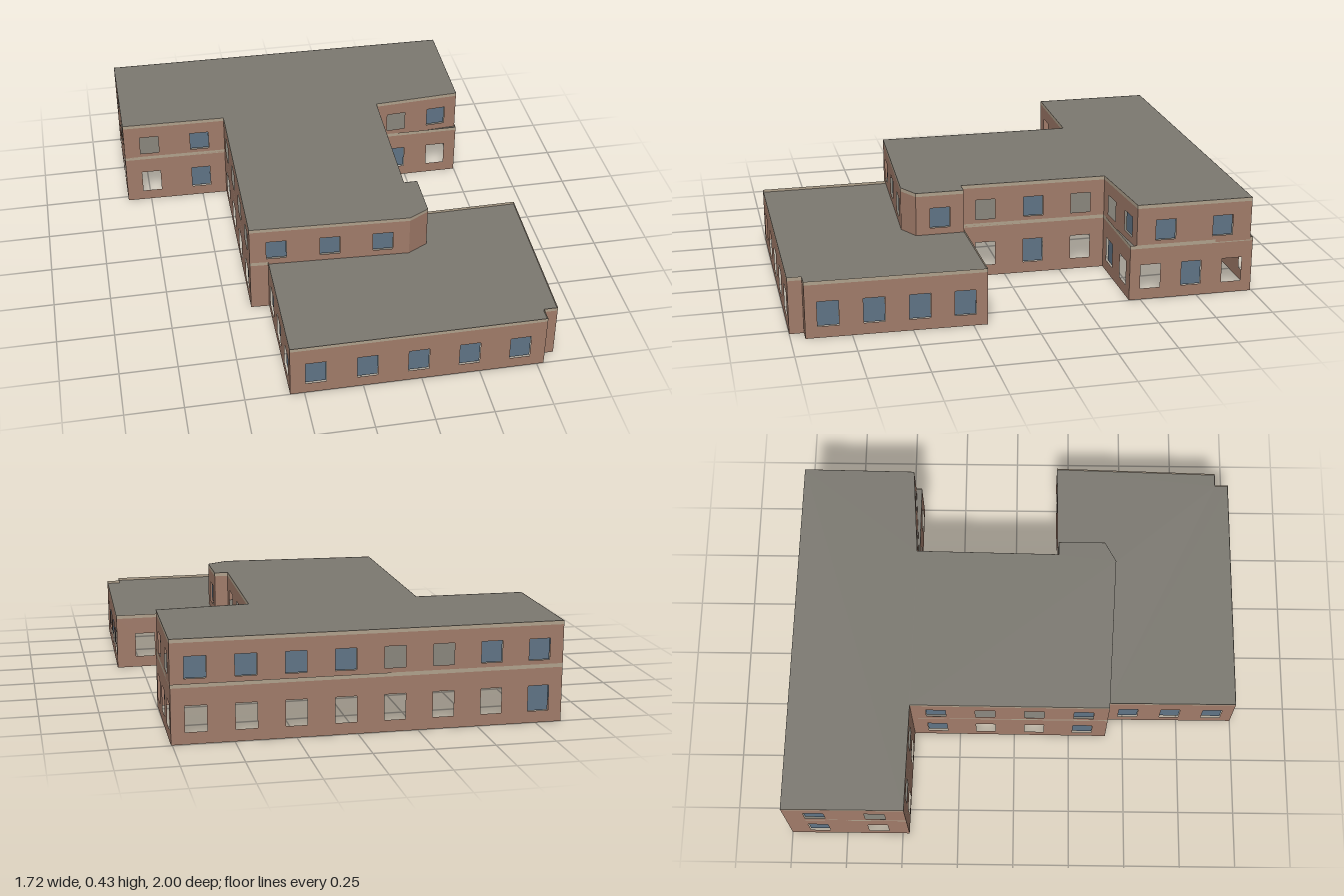
import * as THREE from 'three';

const mat = (name, color) => {
  const m = new THREE.MeshStandardMaterial({ color, side: THREE.DoubleSide });
  m.name = name;
  return m;
};

// Each row: start corner x, z, number of windows, indices of open (unglazed) windows.
// Corners run so that each wall goes left to right as seen from outside.
const LOWER = [
  [-0.31, 1, 5], [0.78, 1, 0], [0.78, 0.94, 0], [0.84, 0.94, 4],
  [0.86, 0.19, 2, [0]], [0.34, 0.195, 3, [0, 2]], [0.35, -0.45, 2, [1]],
  [0.748, -0.45, 3, [0, 2]], [0.755, -0.995, 8, [0, 1, 2, 3, 4, 5, 6]],
  [-0.86, -1, 2, [1]], [-0.86, -0.47, 2, [0]], [-0.385, -0.46, 4, [1, 2]],
  [-0.39, 0.42, 0], [-0.31, 0.425, 3],
];
const UPPER = [
  [-0.39, 0.42, 3], [0.31, 0.455, 0], [0.4, 0.405, 1], [0.4, 0.195, 0],
  [0.34, 0.195, 3, [0, 2]], [0.35, -0.45, 2, [0]], [0.748, -0.477, 2],
  [0.755, -0.983, 8, [4, 5]], [-0.86, -1, 2, [1]], [-0.86, -0.47, 2, [0]],
  [-0.385, -0.46, 4, [1, 2]],
];

const WIN_W = 0.088, TRIM_H = 0.016, INSET = 0.008;

export function createModel() {
  const brick = mat('brick', 0xa07b69);
  const trim = mat('trim', 0xb0a18c);
  const glass = mat('glass', 0x5f7385);
  const roofing = mat('roofing', 0x7b7870);

  const add = (parent, name, geo, material, x = 0, y = 0, z = 0) => {
    const mesh = new THREE.Mesh(geo, material);
    mesh.name = name;
    mesh.position.set(x, y, z);
    parent.add(mesh);
  };

  // One straight wall with window openings, panes and a top band
  function wall(a, b, y0, y1, sill, head) {
    const [x0, z0, count, open = []] = a;
    const dx = b[0] - x0, dz = b[1] - z0, len = Math.hypot(dx, dz);
    const g = new THREE.Group();
    g.name = 'wall';
    g.position.set(x0, 0, z0);
    g.rotation.y = Math.atan2(-dz, dx);

    const top = y1 - TRIM_H;
    const face = new THREE.Shape([[0, y0], [len, y0], [len, top], [0, top]]
      .map(p => new THREE.Vector2(...p)));
    for (let i = 0; i < count; i++) {
      const c = (i + 0.5) * len / count, l = c - WIN_W / 2, r = c + WIN_W / 2;
      face.holes.push(new THREE.Path([[l, sill], [l, head], [r, head], [r, sill]]
        .map(p => new THREE.Vector2(...p))));
      if (!open.includes(i)) {
        add(g, 'windowPane', new THREE.PlaneGeometry(WIN_W, head - sill), glass,
          c, (sill + head) / 2, -INSET);
      }
    }
    add(g, 'wallFace', new THREE.ShapeGeometry(face), brick);
    add(g, 'topBand', new THREE.PlaneGeometry(len, TRIM_H), trim, len / 2, y1 - TRIM_H / 2, 0);
    return g;
  }

  // A ring of walls closed by a flat roof
  function storey(name, plan, y0, y1, sill, head, roofY) {
    const g = new THREE.Group();
    g.name = name;
    plan.forEach((a, i) => g.add(wall(a, plan[(i + 1) % plan.length], y0, y1, sill, head)));
    const outline = new THREE.Shape(plan.map(([x, z]) => new THREE.Vector2(x, -z)));
    add(g, 'roof', new THREE.ShapeGeometry(outline).rotateX(-Math.PI / 2), roofing, 0, roofY, 0);
    return g;
  }

  const model = new THREE.Group();
  model.name = 'building';
  model.add(storey('lowerStorey', LOWER, 0, 0.248, 0.05, 0.158, 0.236));
  model.add(storey('upperStorey', UPPER, 0.236, 0.428, 0.266, 0.356, 0.427));
  return model;
}
